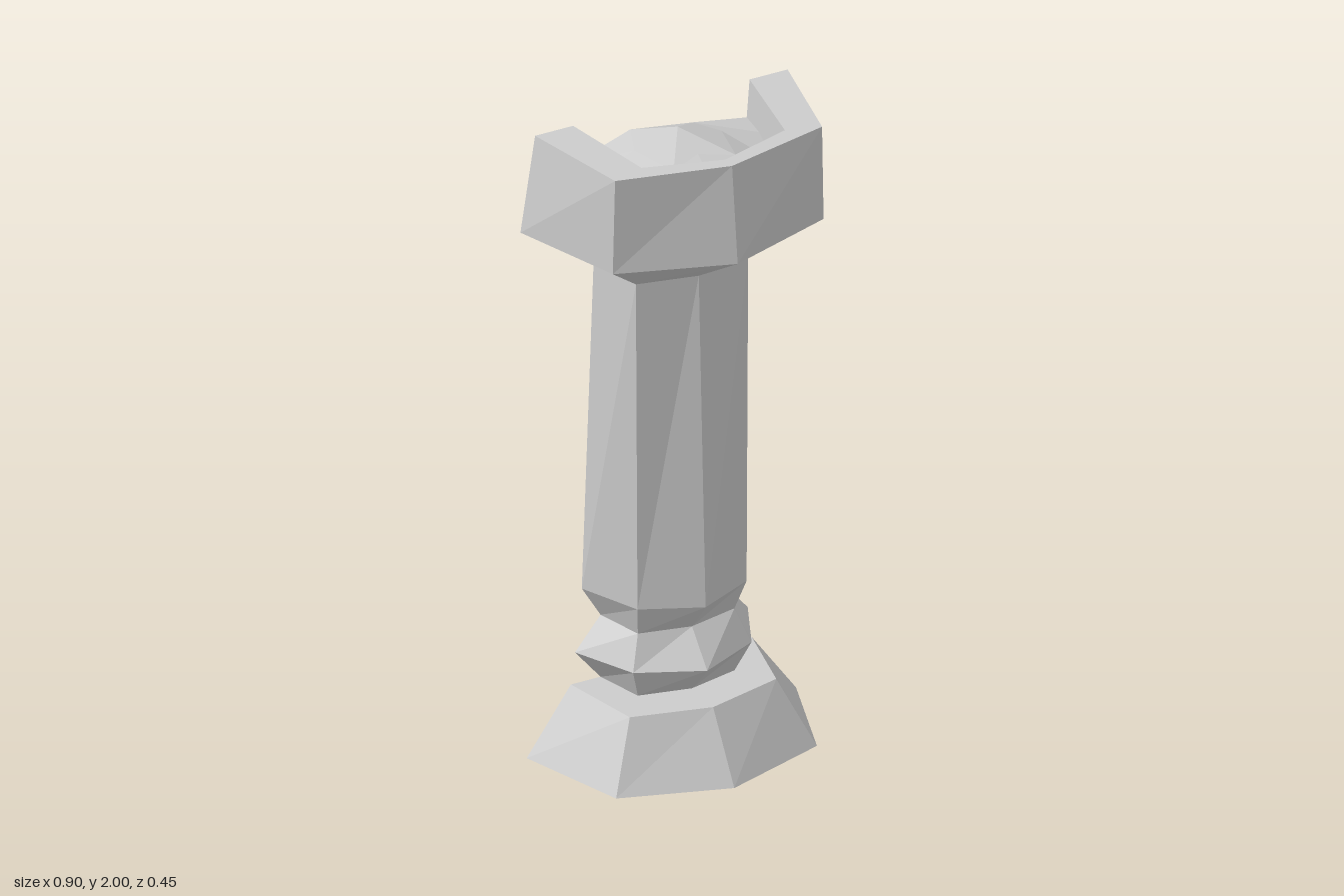
import * as THREE from 'three';

const BACK = -0.227; // plane of the open back
const material = new THREE.MeshStandardMaterial({ color: 0xcccccc, flatShading: true, side: THREE.DoubleSide });

// Half-octagon section: back edges at +-xBack, shoulders at +-xSide, ridge at the front.
function section(y, xBack, xSide, zSide, zFront) {
  return [[-xBack, y, BACK], [-xSide, y, zSide], [0, y, zFront], [xSide, y, zSide], [xBack, y, BACK]];
}

// Open skin through a list of point rows.
function loft(name, rows) {
  const pos = [];
  for (let r = 0; r < rows.length - 1; r++) {
    const lo = rows[r], hi = rows[r + 1];
    for (let i = 0; i < lo.length - 1; i++) {
      pos.push(...lo[i], ...lo[i + 1], ...hi[i + 1], ...lo[i], ...hi[i + 1], ...hi[i]);
    }
  }
  const geometry = new THREE.BufferGeometry();
  geometry.setAttribute('position', new THREE.Float32BufferAttribute(pos, 3));
  geometry.computeVertexNormals();
  const mesh = new THREE.Mesh(geometry, material);
  mesh.name = name;
  return mesh;
}

export function createModel() {
  const group = new THREE.Group();
  group.name = 'halfPillarBrazier';

  const neckLow = section(0.2, 0.195, 0.155, -0.08, -0.045);
  const neckHigh = section(0.4, 0.195, 0.155, -0.08, -0.045);
  const shaftLow = section(0.5, 0.255, 0.175, -0.045, 0.035);
  const shaftHigh = section(1.55, 0.217, 0.18, -0.045, -0.005);
  const rimInner = section(2, 0.283, 0.23, 0.08, 0.15);
  const bowlBottom = section(1.83, 0.27, 0.23, 0.0, 0.08);

  // Flared foot with its flat ledge
  group.add(loft('base', [
    section(0, 0.432, 0.322, 0.1, 0.205),
    section(0.2, 0.29, 0.235, 0.02, 0.08),
    neckLow,
  ]));

  // Pinched ring between foot and shaft
  group.add(loft('footRing', [neckLow, section(0.3, 0.277, 0.19, -0.043, 0.045), neckHigh, shaftLow]));

  // Tapered shaft
  group.add(loft('shaft', [shaftLow, shaftHigh]));

  // Flared head, flat rim and the sloping wall of the bowl
  group.add(loft('head', [
    shaftHigh,
    section(1.7, 0.452, 0.338, 0.11, 0.225),
    section(2, 0.405, 0.332, 0.112, 0.192),
    rimInner,
    bowlBottom,
  ]));

  // Flat bottom of the bowl
  group.add(loft('bowlFloor', [bowlBottom, bowlBottom.map(([x, y]) => [x, y, BACK])]));

  // Faceted heap in the bowl: wall ring, middle ring, peak
  const heapEdge = [
    [-0.275, 1.88, BACK], [-0.25, 1.89, -0.12], [-0.23, 1.87, 0.018], [0, 1.88, 0.097],
    [0.23, 1.87, 0.018], [0.255, 1.89, -0.12], [0.275, 1.88, BACK],
  ];
  const heapMiddle = [
    [-0.1, 1.94, BACK], [-0.14, 1.93, -0.13], [-0.1, 1.93, 0.03], [0, 1.94, -0.01],
    [0.1, 1.93, 0.03], [0.14, 1.92, -0.13], [0.1, 1.91, BACK],
  ];
  group.add(loft('heap', [heapEdge, heapMiddle, heapMiddle.map(() => [0, 1.97, -0.13])]));
  // Back facet closing the heap to the open plane
  group.add(loft('heapBack', [[heapMiddle[6], heapMiddle[0]], [[0, 1.97, -0.13], [0, 1.97, -0.13]]]));

  return group;
}
